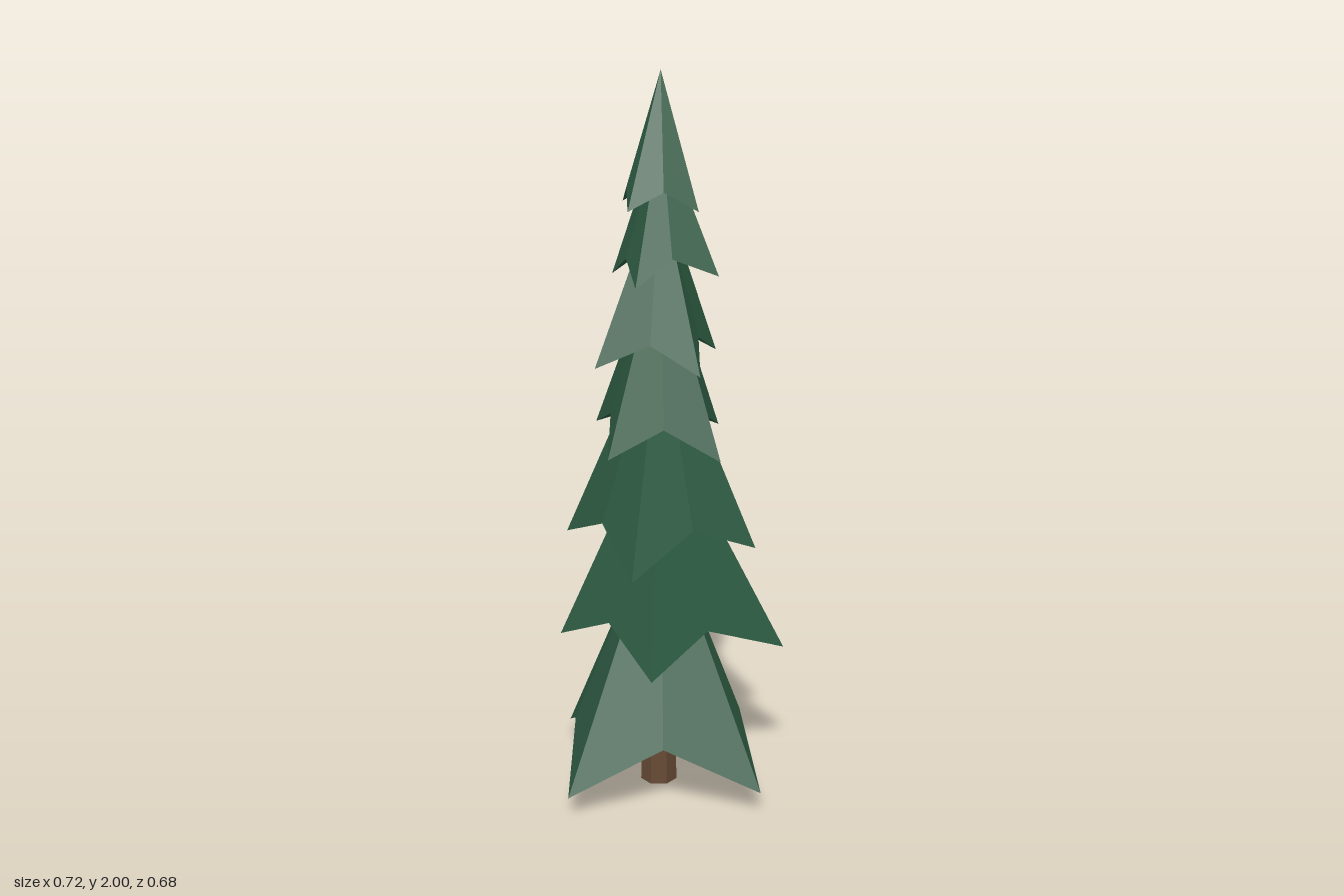
import * as THREE from 'three';

// Each tier: apex height, notch lift above the tips, and four tips [x, y, z] in order around the trunk
const TIERS = [
  { apex: 0.80, lift: 0.13, notch: 0.64, tips: [[0.355, 0.07, 0.09], [-0.11, 0.065, 0.34], [-0.36, 0.05, -0.13], [0.10, 0.085, -0.34]] },
  { apex: 1.08, lift: 0.09, notch: 0.60, tips: [[0.32, 0.41, -0.14], [0.12, 0.435, 0.29], [-0.265, 0.43, 0.09], [-0.107, 0.44, -0.29]] },
  { apex: 1.35, lift: 0.09, notch: 0.63, tips: [[0.262, 0.72, -0.065], [0.055, 0.70, 0.275], [-0.27, 0.72, 0.035], [-0.05, 0.70, -0.28]] },
  { apex: 1.55, lift: 0.08, notch: 0.58, tips: [[0.20, 0.985, 0.035], [-0.055, 1.0, 0.195], [-0.235, 1.015, -0.08], [0.065, 1.0, -0.25]] },
  { apex: 1.71, lift: 0.07, notch: 0.58, tips: [[0.162, 1.225, 0.085], [-0.11, 1.235, 0.16], [-0.155, 1.25, -0.11], [0.095, 1.24, -0.16]] },
  { apex: 1.86, lift: 0.06, notch: 0.62, tips: [[0.167, 1.475, -0.015], [0, 1.455, 0.138], [-0.15, 1.455, -0.02], [0.005, 1.48, -0.16]] },
  { apex: 2.00, lift: 0.05, notch: 0.66, tips: [[0.122, 1.645, 0.015], [-0.03, 1.65, 0.122], [-0.127, 1.65, -0.04], [0.03, 1.65, -0.137]] },
];

// Star-shaped cone with a hollowed underside
function tierGeometry({ apex, lift, notch, tips }) {
  const rim = [];
  let meanY = 0;
  tips.forEach((tip, i) => {
    const a = new THREE.Vector3(...tip);
    const b = new THREE.Vector3(...tips[(i + 1) % tips.length]);
    const ra = Math.hypot(a.x, a.z), rb = Math.hypot(b.x, b.z);
    // The notch lies halfway round between neighbouring tips
    const dir = new THREE.Vector3(a.x / ra + b.x / rb, 0, a.z / ra + b.z / rb).normalize();
    const valley = dir.multiplyScalar(notch * (ra + rb) / 2);
    valley.y = (a.y + b.y) / 2 + lift;
    meanY += valley.y / tips.length;
    rim.push(a, valley);
  });
  const top = new THREE.Vector3(0, apex, -0.01);
  const centre = new THREE.Vector3(0, meanY + 0.04, 0);
  const points = [];
  rim.forEach((p, i) => {
    const q = rim[(i + 1) % rim.length];
    points.push(top, q, p, centre, p, q);
  });
  const geometry = new THREE.BufferGeometry().setFromPoints(points);
  geometry.computeVertexNormals();
  return geometry;
}

export function createModel() {
  const needles = new THREE.MeshStandardMaterial({ color: 0x2e5c43 });
  needles.name = 'needleGreen';
  needles.flatShading = true;
  const bark = new THREE.MeshStandardMaterial({ color: 0x664a35 });
  bark.name = 'barkBrown';
  bark.flatShading = true;

  const tree = new THREE.Group();
  tree.name = 'pineTree';

  const trunk = new THREE.Mesh(new THREE.CylinderGeometry(0.042, 0.052, 0.45, 7), bark);
  trunk.name = 'trunk';
  trunk.position.y = 0.225;
  tree.add(trunk);

  TIERS.forEach((tier, i) => {
    const mesh = new THREE.Mesh(tierGeometry(tier), needles);
    mesh.name = `branchTier${i + 1}`;
    tree.add(mesh);
  });
  return tree;
}
